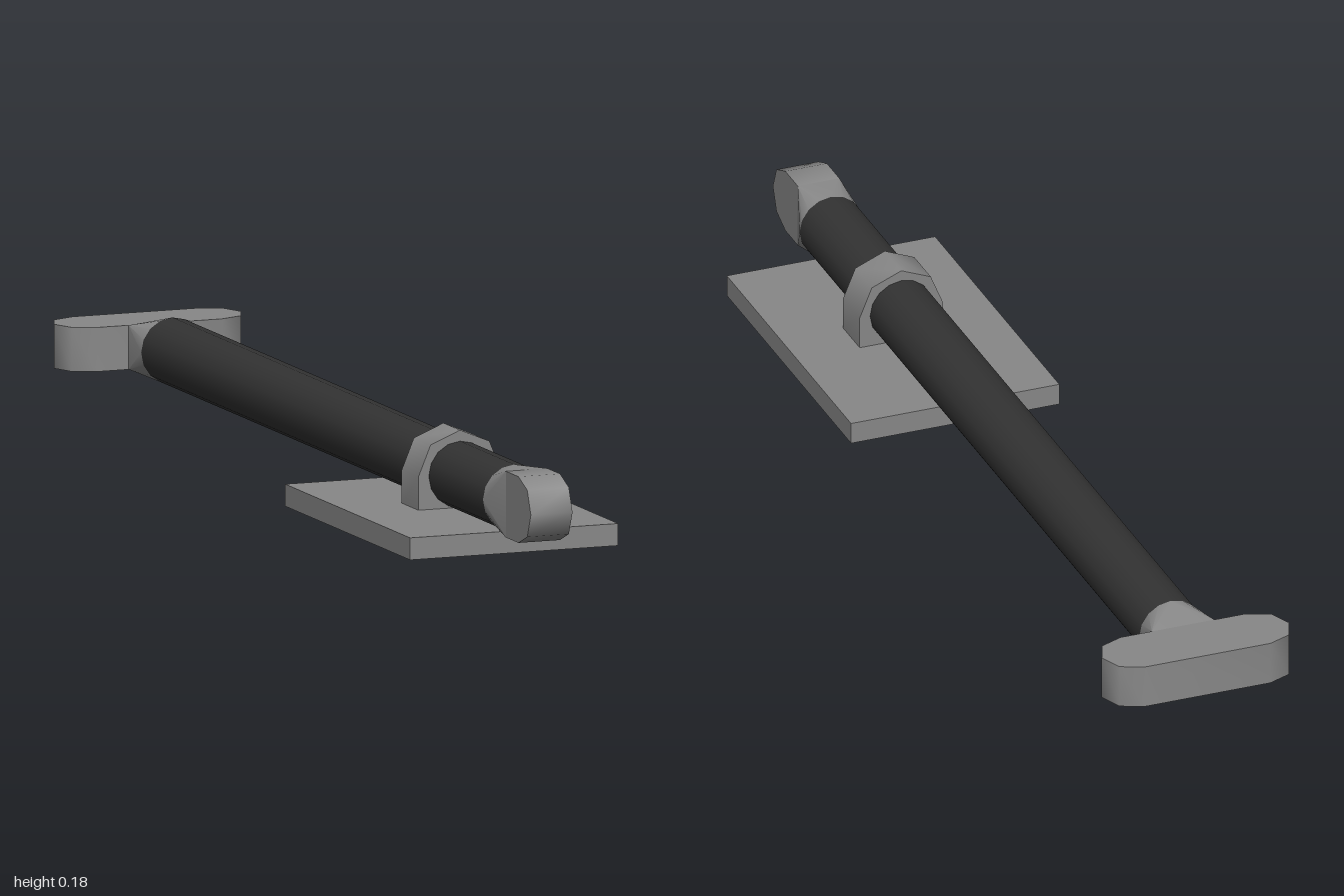
import * as THREE from 'three';
import { toCreasedNormals } from 'three/addons/utils/BufferGeometryUtils.js';
import { ConvexGeometry } from 'three/addons/geometries/ConvexGeometry.js';

const AXIS_Y = 0.1; // height of the rod axis
const R = 0.06;     // rod radius

export function createModel() {
  const model = new THREE.Group();
  const grey = new THREE.MeshStandardMaterial({ color: 0x888888 });
  grey.name = 'metal grey';
  const dark = new THREE.MeshStandardMaterial({ color: 0x333333 });
  dark.name = 'rod dark grey';

  function add(name, geometry, material, x, y, z) {
    const mesh = new THREE.Mesh(geometry, material);
    mesh.name = name;
    mesh.position.set(x, y, z);
    model.add(mesh);
  }

  // Points of a half circle in four steps, starting at angle a
  const halfRing = (cx, cy, r, a) => Array.from({ length: 5 }, (_, i) => {
    const t = a + i * Math.PI / 4;
    return new THREE.Vector2(cx + r * Math.cos(t), cy + r * Math.sin(t));
  });

  // Extruded outline centred on its depth, soft around the curve only
  function slab(points, depth) {
    const geo = new THREE.ExtrudeGeometry(new THREE.Shape(points), { depth, bevelEnabled: false });
    geo.translate(0, 0, -depth / 2);
    return toCreasedNormals(geo, 0.9);
  }

  const stadium = (halfLength) => slab([
    ...halfRing(halfLength - R, 0, R, -Math.PI / 2),
    ...halfRing(R - halfLength, 0, R, Math.PI / 2),
  ], 0.08);

  // Neck blending the round rod end into a rectangle, along +z
  function neck(halfX, halfY) {
    const points = [];
    for (let i = 0; i < 16; i++) {
      const t = i * Math.PI / 8;
      points.push(new THREE.Vector3(R * Math.cos(t), R * Math.sin(t), 0));
    }
    for (const sx of [-1, 1]) {
      for (const sy of [-1, 1]) points.push(new THREE.Vector3(sx * halfX, sy * halfY, 0.06));
    }
    return toCreasedNormals(new ConvexGeometry(points), 0.5);
  }

  // Rod
  const rod = new THREE.CylinderGeometry(R, R, 1.64, 16).rotateX(Math.PI / 2);
  add('rod', rod, dark, 0, AXIS_Y, 0);

  // Upright rounded tip at the front
  add('frontNeck', neck(0.04, R), grey, 0, AXIS_Y, 0.82);
  add('frontTip', stadium(0.09).rotateY(Math.PI / 2), grey, 0, AXIS_Y, 0.91);

  // Flat crossbar handle at the back
  add('backNeck', neck(R, 0.04).rotateY(Math.PI), grey, 0, AXIS_Y, -0.82);
  add('handle', stadium(0.18).rotateX(Math.PI / 2), grey, 0, AXIS_Y, -0.94);

  // Mounting plate and the strap holding the rod
  add('basePlate', new THREE.BoxGeometry(0.4, 0.04, 0.6), grey, 0, 0.02, 0.52);
  const strap = slab([
    new THREE.Vector2(-0.08, 0.04),
    new THREE.Vector2(0.08, 0.04),
    ...halfRing(0, AXIS_Y, 0.08, 0),
  ], 0.08);
  add('strap', strap, grey, 0, 0, 0.52);

  return model;
}
